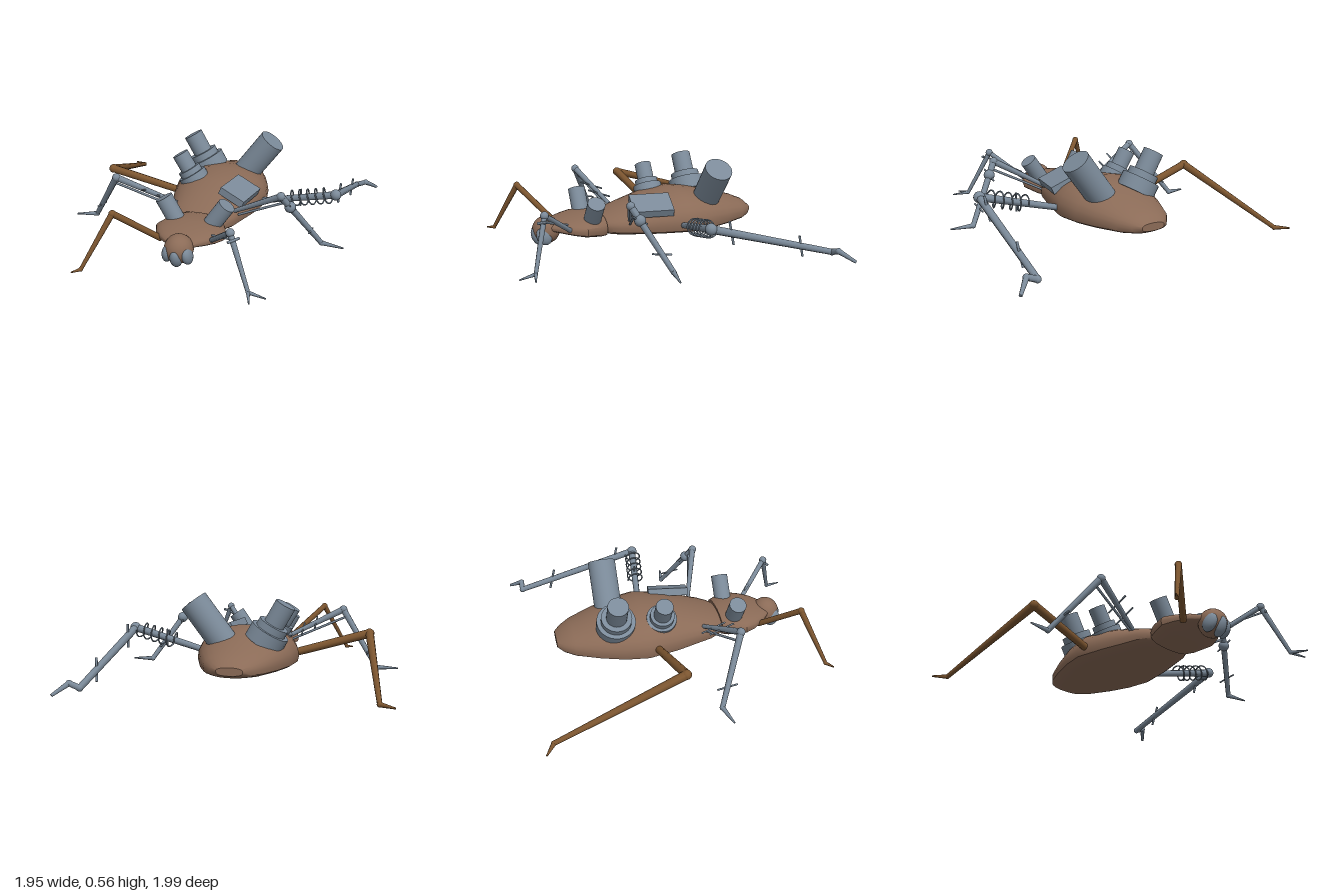
import * as THREE from 'three';
import { toCreasedNormals } from 'three/addons/utils/BufferGeometryUtils.js';

const shell = new THREE.MeshStandardMaterial({ color: 0x8b6b57 });
const wood = new THREE.MeshStandardMaterial({ color: 0x7d5630 });
const metal = new THREE.MeshStandardMaterial({ color: 0x7b8a99 });
const V = (p) => new THREE.Vector3(...p);
const CX = -0.03; // body midline

function add(parent, name, geometry, material, position = [0, 0, 0]) {
  const mesh = new THREE.Mesh(geometry, material);
  mesh.name = name;
  mesh.position.set(...position);
  parent.add(mesh);
  return mesh;
}

// Tapered round bar between two points
function bar(parent, name, a, b, r0, r1, material, sides = 8) {
  const d = V(b).sub(V(a));
  const mesh = add(parent, name, new THREE.CylinderGeometry(r1, r0, d.length(), sides), material);
  mesh.position.copy(V(a)).addScaledVector(d, 0.5);
  mesh.quaternion.setFromUnitVectors(new THREE.Vector3(0, 1, 0), d.normalize());
  return mesh;
}

const mix = (a, b, t) => a.map((v, i) => v + (b[i] - v) * t);

// Closed body from stations [z, halfWidth, bottom, rim, top]: domed above, flat below
function loft(stations, n = 28) {
  const pos = [], index = [];
  for (const [z, w, lo, rim, hi] of stations) {
    for (let j = 0; j < n; j++) {
      const a = (j / n) * Math.PI * 2, s = Math.sin(a);
      const y = s >= 0 ? rim + (hi - rim) * s ** 0.9 : rim - (rim - lo) * Math.sqrt(-s);
      pos.push(CX + w * Math.cos(a), y, z);
    }
  }
  const last = stations.length - 1;
  for (let i = 0; i < last; i++) {
    for (let j = 0; j < n; j++) {
      const k = (j + 1) % n, a = i * n + j, b = i * n + k;
      index.push(a, b, b + n, a, b + n, a + n);
    }
  }
  for (const [i, flip] of [[0, true], [last, false]]) {
    const c = pos.length / 3, [z, , lo, , hi] = stations[i];
    pos.push(CX, (lo + hi) / 2, z);
    for (let j = 0; j < n; j++) {
      const a = i * n + j, b = i * n + ((j + 1) % n);
      index.push(c, flip ? b : a, flip ? a : b);
    }
  }
  const g = new THREE.BufferGeometry();
  g.setAttribute('position', new THREE.Float32BufferAttribute(pos, 3));
  g.setIndex(index);
  return toCreasedNormals(g, 0.6);
}

// Chain of bars with ball joints; radii has one value per point
function leg(parent, name, points, radii, material) {
  const g = new THREE.Group();
  g.name = name;
  parent.add(g);
  for (let i = 0; i < points.length - 1; i++) {
    bar(g, 'segment', points[i], points[i + 1], radii[i], radii[i + 1], material);
    if (i > 0) add(g, 'joint', new THREE.SphereGeometry(radii[i] * 1.1, 12, 8), material, points[i]);
  }
  return g;
}

// Short cross pin centred on a point
function pin(parent, p, half, r = 0.006) {
  bar(parent, 'crossPin', p.map((v, i) => v - half[i]), p.map((v, i) => v + half[i]), r, r, metal, 6);
}

// Helical spring wound around the line a-b
function spring(parent, a, b, radius, turns) {
  const axis = V(b).sub(V(a)).normalize();
  const u = new THREE.Vector3(0, 1, 0).cross(axis).normalize(), v = axis.clone().cross(u);
  const pts = [];
  for (let i = 0; i <= turns * 14; i++) {
    const t = (i / 14) * Math.PI * 2;
    pts.push(V(mix(a, b, i / (turns * 14)))
      .addScaledVector(u, radius * Math.cos(t)).addScaledVector(v, radius * Math.sin(t)));
  }
  const path = new THREE.CatmullRomCurve3(pts);
  add(parent, 'spring', new THREE.TubeGeometry(path, turns * 24, 0.005, 6), metal);
}

export function createModel() {
  const model = new THREE.Group();
  model.name = 'mechanicalInsect';

  // Body
  add(model, 'abdomen', loft([
    [-0.76, 0.08, 0.12, 0.15, 0.17], [-0.72, 0.13, 0.1, 0.145, 0.205],
    [-0.65, 0.185, 0.09, 0.145, 0.235], [-0.5, 0.25, 0.08, 0.145, 0.28],
    [-0.35, 0.3, 0.075, 0.145, 0.32], [-0.2, 0.325, 0.073, 0.15, 0.342],
    [0, 0.285, 0.075, 0.15, 0.315], [0.15, 0.24, 0.08, 0.15, 0.27],
    [0.24, 0.215, 0.085, 0.15, 0.24], [0.3, 0.18, 0.09, 0.15, 0.22], [0.35, 0.13, 0.1, 0.15, 0.2],
  ]), shell);
  add(model, 'thorax', loft([
    [0.33, 0.17, 0.08, 0.15, 0.225], [0.37, 0.195, 0.083, 0.15, 0.235], [0.48, 0.228, 0.1, 0.16, 0.23],
    [0.55, 0.2, 0.115, 0.16, 0.22], [0.62, 0.15, 0.13, 0.165, 0.205], [0.68, 0.08, 0.14, 0.165, 0.185],
  ]), shell);

  // Head
  add(model, 'head', new THREE.SphereGeometry(0.09, 20, 14), shell, [CX, 0.14, 0.69]);
  for (const s of [-1, 1]) {
    const eye = add(model, 'eye', new THREE.SphereGeometry(1, 16, 12), metal, [CX + s * 0.062, 0.115, 0.72]);
    eye.scale.set(0.034, 0.06, 0.048);
    eye.rotation.set(0.45, 0, s * 0.15);
  }
  const snout = add(model, 'mouthpart', new THREE.SphereGeometry(1, 16, 12), metal, [CX, 0.1, 0.745]);
  snout.scale.set(0.038, 0.065, 0.04);
  snout.rotation.x = 0.45;

  // Canisters on the back: base, top, radius, collars as [position along axis, radius]
  const canisters = [
    ['largeCanister', [0.08, 0.235, -0.385], [0.283, 0.505, -0.385], 0.091, []],
    ['rearCanister', [-0.155, 0.25, -0.385], [-0.297, 0.498, -0.385], 0.066, [[0.34, 0.125], [0.5, 0.098]]],
    ['middleCanister', [-0.165, 0.24, -0.09], [-0.292, 0.45, -0.09], 0.056, [[0.36, 0.098], [0.52, 0.078]]],
    ['thoraxCanister', [-0.13, 0.18, 0.42], [-0.222, 0.34, 0.42], 0.056, []],
    ['thoraxCanister', [0.08, 0.18, 0.42], [0.188, 0.335, 0.42], 0.056, []],
  ];
  for (const [name, a, b, r, collars] of canisters) {
    const g = new THREE.Group();
    g.name = name;
    model.add(g);
    bar(g, 'barrel', a, b, r, r, metal, 28);
    for (const [t, cr] of collars) bar(g, 'collar', mix(a, b, 0.02), mix(a, b, t), cr, cr, metal, 28);
  }

  // Tilted plate on the left flank
  const plate = add(model, 'plate', new THREE.BoxGeometry(0.18, 0.05, 0.265), metal, [0.165, 0.28, 0.04]);
  plate.rotation.set(0, -0.17, -0.42, 'YXZ');

  // Natural legs
  leg(model, 'frontRightLeg',
    [[-0.18, 0.14, 0.59], [-0.41, 0.355, 0.78], [-0.57, 0.03, 0.915], [-0.615, 0.022, 0.955]],
    [0.02, 0.02, 0.012, 0.004], wood);
  leg(model, 'backRightLeg',
    [[-0.3, 0.155, -0.145], [-0.79, 0.29, -0.085], [-0.89, 0.03, -0.89], [-0.975, 0.025, -0.94]],
    [0.025, 0.028, 0.015, 0.005], wood);

  // Mechanical middle legs
  const middle = [
    ['middleRightLeg', [-0.22, 0.21, 0.19], [-0.59, 0.39, 0.31], [-0.83, 0.03, 0.13], [-0.97, 0.022, 0.16]],
    ['middleLeftLeg', [0.17, 0.2, 0.19], [0.5, 0.39, 0.315], [0.735, 0.03, 0.14], [0.88, 0.022, 0.165]],
  ];
  for (const [name, hip, knee, ankle, toe] of middle) {
    const g = leg(model, name, [hip, knee, ankle, toe], [0.014, 0.022, 0.016, 0.005], metal);
    pin(g, mix(knee, ankle, 0.73), [0, 0.01, 0.063]);
    add(g, 'kneeCap', new THREE.SphereGeometry(0.027, 14, 10), metal, knee);
    // Piston beneath the thigh
    bar(g, 'piston', mix(hip, knee, 0.1).map((v, i) => v - (i === 1 ? 0.035 : 0)), mix(knee, ankle, 0.12), 0.008, 0.008, metal);
    if (hip[0] < 0) for (const t of [0.28, 0.51]) pin(g, mix(hip, knee, t), [0, 0.03, 0.078]);
    else {
      add(g, 'shinBall', new THREE.SphereGeometry(0.036, 16, 12), metal, mix(knee, ankle, 0.22));
      pin(g, mix(knee, ankle, 0.22), [0.01, 0.03, 0.05]);
    }
  }

  // Mechanical front leg with a forked foot
  const knee = [0.315, 0.335, 0.79], ankle = [0.45, 0.03, 0.89];
  const front = leg(model, 'frontLeftLeg', [[0.13, 0.16, 0.57], knee, ankle, [0.56, 0.022, 0.918]],
    [0.016, 0.018, 0.012, 0.004], metal);
  bar(front, 'toe', ankle, [0.482, 0.02, 0.995], 0.012, 0.004, metal);
  add(front, 'kneeBall', new THREE.SphereGeometry(0.026, 14, 10), metal, knee);
  pin(front, [0.34, 0.3, 0.81], [0.03, 0.01, -0.02], 0.009);
  bar(front, 'piston', [0.15, 0.21, 0.6], [0.33, 0.3, 0.8], 0.007, 0.007, metal);

  // Mechanical back leg with spring and cross pins
  const hip = [0.26, 0.15, -0.145], joint = [0.78, 0.28, -0.075], heel = [0.825, 0.045, -0.905];
  const back = leg(model, 'backLeftLeg',
    [hip, joint, heel, [0.89, 0.07, -0.905], [0.965, 0.012, -0.985]],
    [0.02, 0.026, 0.02, 0.018, 0.01], metal);
  add(back, 'kneeBall', new THREE.SphereGeometry(0.036, 16, 12), metal, joint);
  spring(back, mix(hip, joint, 0.42), mix(hip, joint, 0.94), 0.052, 5);
  pin(back, mix(joint, heel, 0.16), [0.008, 0.075, 0.02], 0.008);
  pin(back, mix(joint, heel, 0.73), [0.008, 0.07, 0.02], 0.008);
  pin(back, mix(hip, joint, 0.55), [0, 0.06, 0]);
  return model;
}
